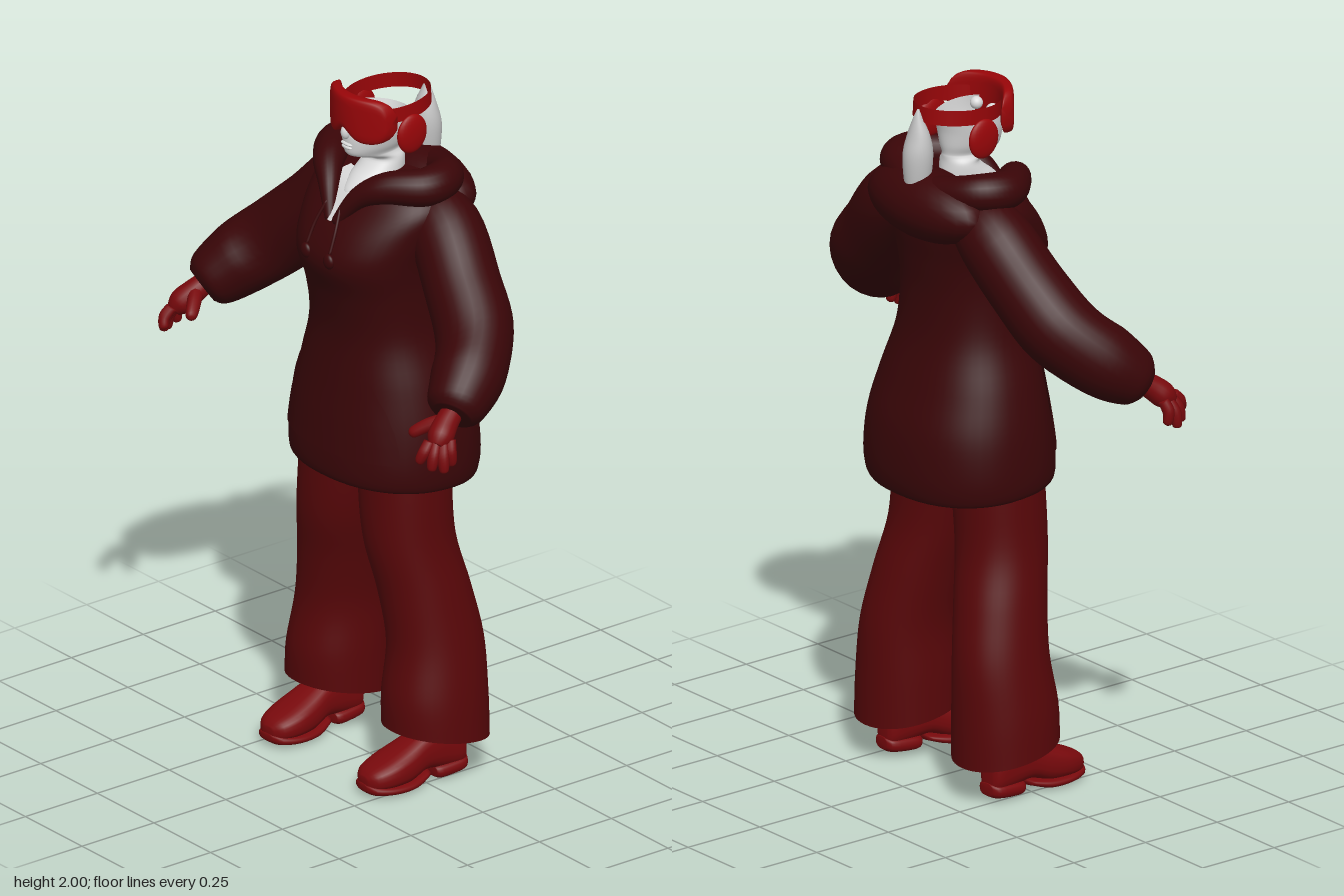
import * as THREE from 'three';

const mat = (name, color, double = false) => {
  const m = new THREE.MeshStandardMaterial({ color, side: double ? THREE.DoubleSide : THREE.FrontSide });
  m.name = name;
  return m;
};
const V = (a) => new THREE.Vector3(...a);

// Catmull-Rom resampling of rows of numbers
function smooth(rows, steps) {
  const out = [];
  const at = (i) => rows[Math.max(0, Math.min(rows.length - 1, i))];
  for (let i = 0; i < rows.length - 1; i++) {
    for (let s = 0; s < steps; s++) {
      const t = s / steps;
      out.push(at(i).map((b, k) => {
        const a = at(i - 1)[k], c = at(i + 1)[k], d = at(i + 2)[k];
        return b + 0.5 * t * (c - a + t * (2 * a - 5 * b + 4 * c - d + t * (3 * (b - c) + d - a)));
      }));
    }
  }
  out.push(rows[rows.length - 1]);
  return out;
}

// Skin a list of rings of points; closed rings wrap, caps fill the ends
function skin(rings, { closed = true, capStart = false, capEnd = false } = {}) {
  const n = rings[0].length, pos = rings.flat().flat(), idx = [];
  for (let i = 0; i < rings.length - 1; i++) {
    for (let j = 0; j < (closed ? n : n - 1); j++) {
      const k = (j + 1) % n, a = i * n + j, b = i * n + k;
      idx.push(a, b, b + n, a, b + n, a + n);
    }
  }
  const cap = (r, flip) => {
    const c = pos.length / 3;
    pos.push(...[0, 1, 2].map((k) => rings[r].reduce((s, p) => s + p[k], 0) / n));
    for (let j = 0; j < n; j++) {
      const a = r * n + j, b = r * n + (j + 1) % n;
      idx.push(...(flip ? [c, b, a] : [c, a, b]));
    }
  };
  if (capStart) cap(0, true);
  if (capEnd) cap(rings.length - 1, false);
  const g = new THREE.BufferGeometry();
  g.setAttribute('position', new THREE.Float32BufferAttribute(pos, 3));
  g.setIndex(idx);
  g.computeVertexNormals();
  return g;
}

const pw = (v, e) => Math.sign(v) * Math.abs(v) ** e;
// Point on a horizontal section row: y, half width, front z, back z, centre x, tilt
function sectionPoint([y, hw, zf, zb, cx, tilt], a, e) {
  const dz = pw(Math.cos(a), e) * (zf - zb) / 2;
  return [cx + hw * pw(Math.sin(a), e), y + tilt * dz, (zf + zb) / 2 + dz];
}
const circle = (n, f) => Array.from({ length: n }, (_, j) => f(j / n * Math.PI * 2));
const full = (rows) => rows.map((r) => [...r, 0, 0].slice(0, 6));
const body = (rows, opts, e = 0.9) =>
  skin(smooth(full(rows), 5).map((r) => circle(48, (a) => sectionPoint(r, a, e))), opts);

// Tube of varying radius; rows are x, y, z, radius
function limb(rows, n = 20, steps = 5) {
  const pts = smooth(rows, steps);
  const curve = new THREE.CatmullRomCurve3(rows.map((r) => V(r.slice(0, 3))));
  const f = curve.computeFrenetFrames(pts.length - 1);
  const at = (p, i, r) => circle(n, (a) => V(p).addScaledVector(f.normals[i], Math.cos(a) * r)
    .addScaledVector(f.binormals[i], Math.sin(a) * r).toArray());
  return skin(pts.map((p, i) => at(p.slice(0, 3), i, p[3])), { capStart: true, capEnd: true });
}

export function createModel() {
  const root = new THREE.Group();
  const cloth = mat('dark hoodie red', 0x390507, true), denim = mat('trouser red', 0x570608, true);
  const glove = mat('hand and shoe red', 0x78090c), red = mat('goggle red', 0x980508, true);
  const pale = mat('pale skin', 0xdadada, true), grey = mat('hair grey', 0xc4c4c4, true);
  const add = (name, geo, m, parent = root) => {
    const mesh = new THREE.Mesh(geo, m);
    mesh.name = name;
    parent.add(mesh);
    return mesh;
  };
  const ball = (name, m, p, s) => {
    const b = add(name, new THREE.SphereGeometry(1, 24, 16), m);
    b.position.set(...p);
    b.scale.set(...s);
  };

  // Hoodie body, hem lower at the back
  const torso = full([
    [0.868, 0.255, 0.155, -0.255, 0, 0.06], [0.878, 0.278, 0.177, -0.275, 0, 0.06],
    [0.94, 0.284, 0.18, -0.285, 0, 0.03], [1.05, 0.273, 0.168, -0.274],
    [1.17, 0.245, 0.15, -0.237], [1.3, 0.205, 0.137, -0.2],
    [1.42, 0.198, 0.155, -0.19], [1.52, 0.207, 0.187, -0.2],
    [1.6, 0.225, 0.16, -0.215], [1.68, 0.24, 0.098, -0.225],
    [1.73, 0.2, 0.05, -0.21], [1.755, 0.1, -0.02, -0.14]]);
  const fine = smooth(torso, 12);
  add('hoodieBody', body(torso, { capEnd: true }), cloth);

  // Patches that follow the hoodie surface, used for the pocket and the open neckline
  const patch = (y0, y1, halfAngle, lift) => skin(Array.from({ length: 11 }, (_, i) => {
    const t = i / 10, y = y0 + (y1 - y0) * t;
    const row = fine.reduce((p, q) => (Math.abs(q[0] - y) < Math.abs(p[0] - y) ? q : p));
    return Array.from({ length: 15 }, (_, j) => {
      const p = sectionPoint(row, (j / 7 - 1) * halfAngle(t), 0.9);
      return [p[0] * (1 + lift), p[1], p[2] + lift];
    });
  }), { closed: false });
  add('frontPocket', patch(0.96, 1.2, (t) => 1.0 - 0.4 * t * t, 0.006), cloth);
  add('neckOpening', patch(1.635, 1.745, (t) => 0.02 + 0.42 * t, 0.006), pale);

  // Hood lying round the shoulders, its back one soft fold
  const half = [[0.012, 1.63, 0.128, 0.014], [0.065, 1.71, 0.09, 0.03], [0.128, 1.748, 0.04, 0.045],
    [0.193, 1.752, -0.04, 0.054], [0.178, 1.755, -0.12, 0.053], [0.1, 1.745, -0.165, 0.045]];
  const mirror = half.map(([x, ...r]) => [-x, ...r]).reverse();
  add('hoodRim', limb([...half, [0, 1.73, -0.18, 0.045], ...mirror], 20, 8), cloth);
  ball('hoodBack', cloth, [0, 1.685, -0.165], [0.225, 0.1, 0.106]);

  // Head and neck, one open shell cut off behind the goggles
  add('headAndNeck', body([
    [1.66, 0.05, 0.08, -0.115], [1.7, 0.055, 0.086, -0.112], [1.735, 0.062, 0.058, -0.11],
    [1.765, 0.06, 0.02, -0.108], [1.79, 0.056, 0.002, -0.105],
    [1.806, 0.052, 0.055, -0.105], [1.816, 0.053, 0.076, -0.105], [1.84, 0.065, 0.081, -0.11],
    [1.88, 0.076, 0.08, -0.115], [1.925, 0.081, 0.065, -0.122, 0, 0.15]], {}, 1), pale);
  ball('nose', pale, [0, 1.885, 0.082], [0.013, 0.022, 0.016]);
  ball('upperLip', pale, [0, 1.848, 0.08], [0.024, 0.005, 0.008]);
  ball('lowerLip', pale, [0, 1.838, 0.079], [0.021, 0.006, 0.008]);
  ball('innerMouth', pale, [0, 1.85, 0.005], [0.045, 0.03, 0.048]);

  // Goggles, swept along x with a notch for the nose
  const goggleRings = Array.from({ length: 41 }, (_, i) => {
    const x = -0.121 + 0.242 * i / 40;
    const top = 2.0 - 0.3 * x * x, bottom = 1.866 + 0.034 * Math.exp(-((x / 0.035) ** 2));
    const s = Math.sqrt(1 - (Math.abs(x) / 0.124) ** 8);
    return circle(24, (a) => [x, (top + bottom) / 2 + pw(Math.cos(a), 0.45) * s * (top - bottom) / 2,
      0.08 - 4.2 * x * x + pw(Math.sin(a), 0.5) * 0.021]);
  });
  add('goggles', skin(goggleRings, { capStart: true, capEnd: true }), red);
  const strap = add('goggleStrap', new THREE.CylinderGeometry(1, 1, 0.044, 48, 1, true), red);
  strap.scale.set(0.106, 1, 0.13);
  strap.position.set(0, 1.944, -0.06);
  strap.rotation.x = 0.06;

  // Ponytail
  add('ponytail', body([
    [1.66, 0.015, -0.19, -0.22], [1.74, 0.032, -0.165, -0.235], [1.83, 0.042, -0.155, -0.24],
    [1.89, 0.034, -0.165, -0.225], [1.94, 0.014, -0.185, -0.21], [1.965, 0.003, -0.193, -0.2]],
  { capStart: true, capEnd: true }, 1), grey);

  // Hips
  add('trouserSeat', body([[0.875, 0.08, 0.05, -0.09], [0.9, 0.2, 0.1, -0.145], [1.02, 0.22, 0.1, -0.16]],
    { capStart: true, capEnd: true }), denim);

  for (const s of [1, -1]) {
    const side = s > 0 ? 'left' : 'right';
    const m = (rows) => rows.map(([x, ...r]) => [s * x, ...r]);

    ball(side + 'EarCup', red, [s * 0.113, 1.88, -0.058], [0.016, 0.057, 0.05]);
    ball(side + 'Eye', pale, [s * 0.035, 1.92, 0.035], [0.018, 0.018, 0.018]);

    // Drawstring with a knotted end
    add(side + 'Drawstring', limb(m([[0.03, 1.68, 0.125, 0.005], [0.045, 1.62, 0.154, 0.005],
      [0.05, 1.56, 0.178, 0.005]]), 8), cloth);
    ball(side + 'StringEnd', cloth, [s * 0.05, 1.54, 0.182], [0.02, 0.022, 0.012]);

    // Sleeve
    add(side + 'Sleeve', limb(m([[0.1, 1.67, -0.09, 0.08], [0.21, 1.62, -0.095, 0.104], [0.32, 1.505, -0.068, 0.108],
      [0.425, 1.4, -0.03, 0.111], [0.503, 1.32, 0.053, 0.104], [0.542, 1.265, 0.124, 0.083],
      [0.552, 1.247, 0.148, 0.055]]), 28), cloth);

    // Hand
    const hand = new THREE.Group();
    hand.name = side + 'Hand';
    root.add(hand);
    add('palm', limb(m([[0.54, 1.27, 0.12, 0.028], [0.556, 1.235, 0.17, 0.034], [0.572, 1.205, 0.205, 0.036],
      [0.58, 1.185, 0.225, 0.022]])), glove, hand);
    const tips = [[0.607, 1.137, 0.192], [0.611, 1.124, 0.222], [0.592, 1.131, 0.25], [0.565, 1.15, 0.272]];
    tips.forEach(([x, y, z], i) => {
      const k = [0.593 - i * 0.008, 1.2, 0.187 + i * 0.018];
      add('finger', limb(m([[...k, 0.016], [(x + k[0]) / 2 + 0.006, (y + k[1]) / 2, (z + k[2]) / 2 + 0.006, 0.017],
        [x, y, z, 0.013], [x, y - 0.007, z, 0.004]]), 10), glove, hand);
    });
    add('thumb', limb(m([[0.55, 1.24, 0.17, 0.021], [0.516, 1.222, 0.205, 0.02], [0.49, 1.2, 0.235, 0.016],
      [0.484, 1.192, 0.242, 0.004]]), 10), glove, hand);

    // Flared trouser leg, hem higher at the front
    add(side + 'TrouserLeg', body([
      [0.135, 0.138, 0.09, -0.212, s * 0.213, 0.19], [0.25, 0.133, 0.09, -0.212, s * 0.21, 0.05],
      [0.4, 0.12, 0.07, -0.207, s * 0.201, 0], [0.55, 0.119, 0.081, -0.181, s * 0.176, 0],
      [0.7, 0.122, 0.105, -0.15, s * 0.146, 0], [0.86, 0.126, 0.107, -0.147, s * 0.13, 0],
      [1.0, 0.12, 0.1, -0.15, s * 0.125, 0]], {}, 0.95), denim);

    // Shoe swept from heel to toe: z, half width, bottom, top
    const shoe = new THREE.Group();
    shoe.name = side + 'Shoe';
    shoe.position.x = s * 0.222;
    shoe.rotation.y = s * -0.06;
    root.add(shoe);
    const sweep = (rows) => skin(smooth(rows, 4).map(([z, hw, b, t]) => circle(24, (a) =>
      [hw * pw(Math.cos(a), 0.75), (b + t) / 2 + pw(Math.sin(a), 0.75) * (t - b) / 2, z])),
    { capStart: true, capEnd: true });
    add('upper', sweep([[-0.138, 0.02, 0.035, 0.1], [-0.122, 0.042, 0.02, 0.15], [-0.06, 0.048, 0.025, 0.18],
      [0.0, 0.052, 0.035, 0.15], [0.06, 0.062, 0.015, 0.122], [0.12, 0.065, 0.012, 0.097],
      [0.17, 0.05, 0.015, 0.075], [0.19, 0.02, 0.025, 0.055]]), glove, shoe);
    add('frontSole', sweep([[-0.01, 0.04, 0.018, 0.036], [0.05, 0.064, 0, 0.03], [0.12, 0.069, 0, 0.03],
      [0.175, 0.051, 0.005, 0.036], [0.193, 0.02, 0.016, 0.036]]), glove, shoe);
    add('heel', sweep([[-0.142, 0.023, 0.016, 0.05], [-0.122, 0.044, 0.006, 0.05], [-0.05, 0.047, 0, 0.045],
      [-0.03, 0.038, 0.008, 0.04]]), glove, shoe);
    add('ankle', limb([[0, 0.1, -0.07, 0.042], [0, 0.2, -0.07, 0.045], [0, 0.32, -0.07, 0.048]]), glove, shoe);
  }
  return root;
}
